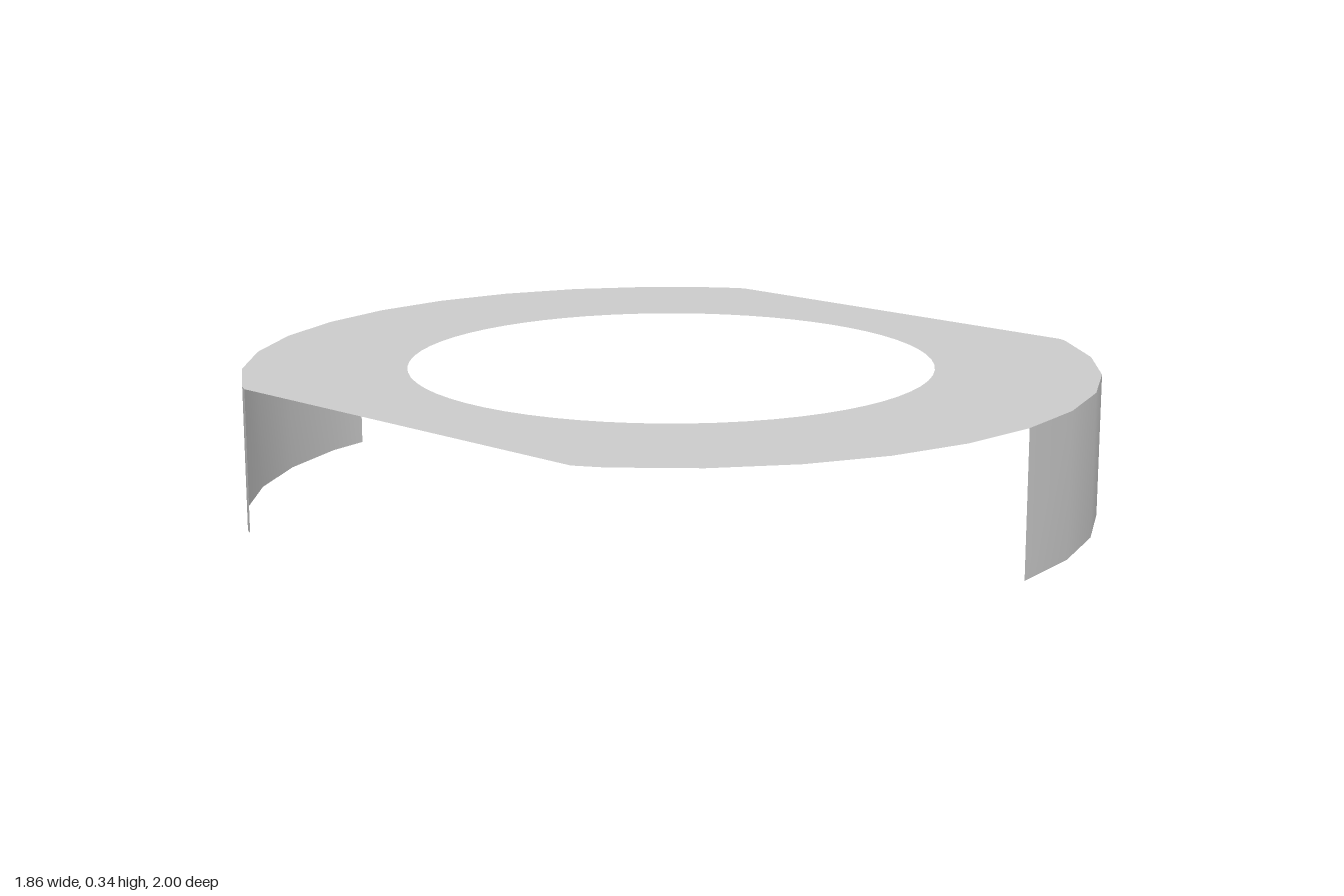
import * as THREE from 'three';

const HEIGHT = 0.335;
const HOLE_RADIUS = 0.617;
const STEP = 11.25; // the rim is a 32-sided circle of radius 1

// Point on the faceted rim at an angle in degrees, measured from +x towards +z
function rimPoint(deg) {
  const rad = THREE.MathUtils.degToRad;
  const mid = (Math.floor(deg / STEP) + 0.5) * STEP;
  const r = Math.cos(rad(STEP / 2)) / Math.cos(rad(deg - mid));
  return new THREE.Vector2(r * Math.cos(rad(deg)), r * Math.sin(rad(deg)));
}

// Rim points between two angles, including every facet corner passed
function rimArc(from, to) {
  const points = [rimPoint(from)];
  for (let a = (Math.floor(from / STEP) + 1) * STEP; a < to - 0.01; a += STEP) points.push(rimPoint(a));
  points.push(rimPoint(to));
  return points;
}

// Thin curved wall hanging from the rim down to the ground
function createTab(from, to, material) {
  const points = rimArc(from, to).reverse();
  const n = points.length;
  const geometry = new THREE.PlaneGeometry(1, 1, n - 1, 1);
  const position = geometry.attributes.position;
  for (let i = 0; i < position.count; i++) {
    const p = points[i % n];
    position.setXYZ(i, p.x, i < n ? HEIGHT : 0, p.y);
  }
  geometry.computeVertexNormals();
  return new THREE.Mesh(geometry, material);
}

export function createModel() {
  const group = new THREE.Group();
  group.name = 'ringBracket';
  const material = new THREE.MeshStandardMaterial({ color: 0xcccccc, side: THREE.DoubleSide });

  // Flat sheet: two rim arcs joined by slanted straight sides, with a round hole
  const outline = [...rimArc(21.1, 139.1), ...rimArc(201.1, 319.1)];
  const shape = new THREE.Shape(outline.map((p) => new THREE.Vector2(p.x, -p.y)));
  shape.holes.push(new THREE.Path().absarc(0, 0, HOLE_RADIUS, 0, Math.PI * 2));
  const plateGeometry = new THREE.ShapeGeometry(shape, 32);
  plateGeometry.rotateX(-Math.PI / 2);
  const plate = new THREE.Mesh(plateGeometry, material);
  plate.name = 'topPlate';
  plate.position.y = HEIGHT;
  group.add(plate);

  // Two curved tabs on opposite sides, the rear one a little shorter
  const frontTab = createTab(21.1, 78.75, material);
  frontTab.name = 'frontLeftTab';
  const backTab = createTab(201.1, 253.7, material);
  backTab.name = 'backRightTab';
  group.add(frontTab, backTab);

  return group;
}
